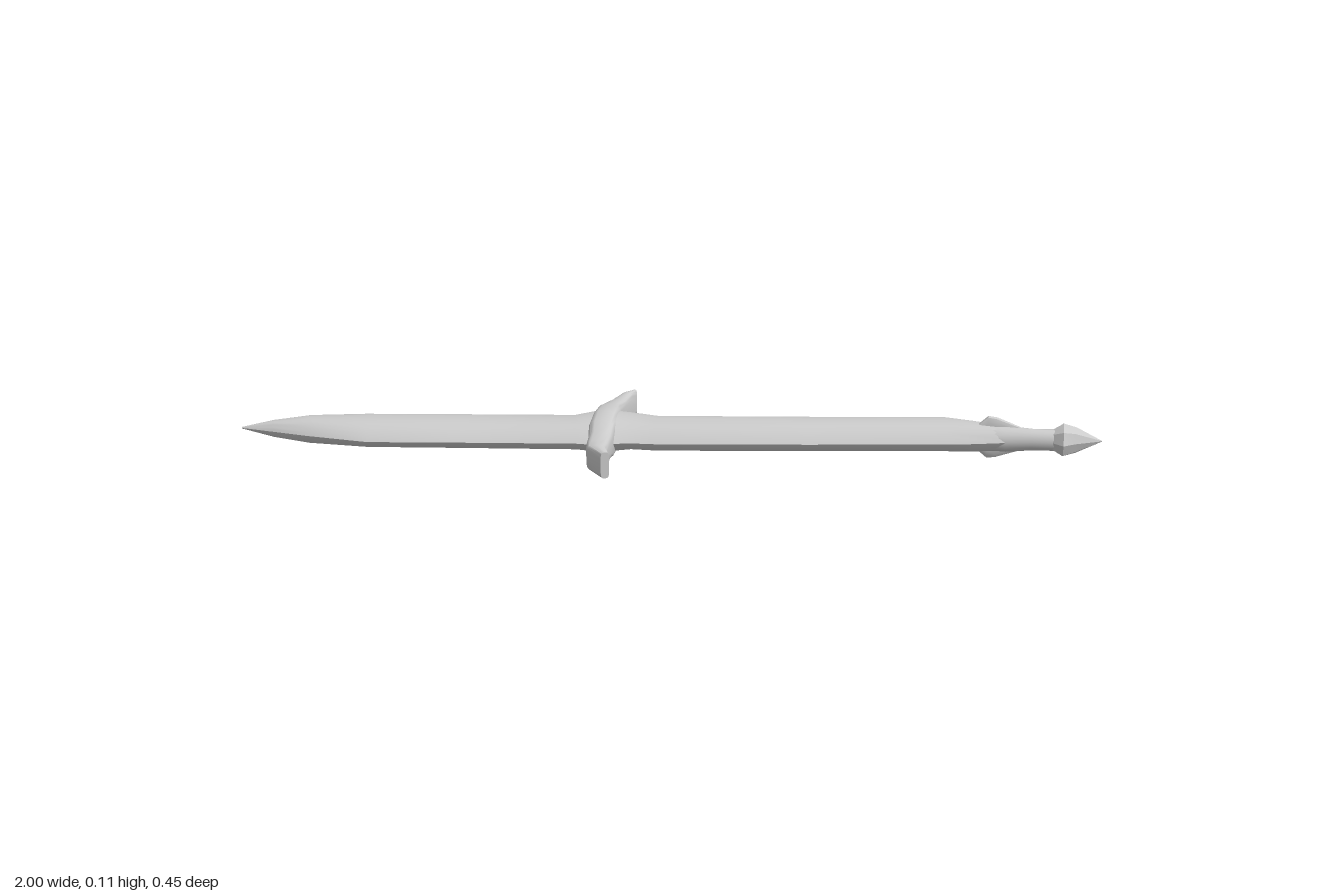
import * as THREE from 'three';
import { toCreasedNormals } from 'three/addons/utils/BufferGeometryUtils.js';

const MID_Y = 0.053;

// Section shapes: (angle) -> [across, up], both in -1..1
const lens = (a) => {
  const u = Math.cos(a);
  return [u, Math.sign(Math.sin(a)) * (1 - Math.abs(u) ** 2.6)];
};
const rounded = (power) => (a) => [Math.cos(a), Math.sin(a)].map(
  (v) => Math.sign(v) * Math.abs(v) ** power);

// Skin through stations [xA, zA, xB, zB, halfHeight]: A and B are the two side edges
function loft(name, stations, shape, sides, crease) {
  const pos = [], index = [];
  for (const [xa, za, xb, zb, t] of stations) {
    for (let j = 0; j < sides; j++) {
      const [u, v] = shape((j / sides) * Math.PI * 2);
      const k = (u + 1) / 2;
      pos.push(xa + (xb - xa) * k, MID_Y + v * t, za + (zb - za) * k);
    }
  }
  const last = stations.length - 1;
  for (let i = 0; i < last; i++) {
    for (let j = 0; j < sides; j++) {
      const n = (j + 1) % sides;
      const a = i * sides + j, b = i * sides + n;
      const c = a + sides, d = b + sides;
      index.push(a, c, b, b, c, d);
    }
  }
  // end caps
  for (let j = 1; j < sides - 1; j++) {
    index.push(0, j, j + 1);
    index.push(last * sides, last * sides + j + 1, last * sides + j);
  }
  const geo = new THREE.BufferGeometry();
  geo.setAttribute('position', new THREE.Float32BufferAttribute(pos, 3));
  geo.setIndex(index);
  const mesh = new THREE.Mesh(toCreasedNormals(geo, crease),
    new THREE.MeshStandardMaterial({ color: 0xcccccc }));
  mesh.name = name;
  return mesh;
}

export function createModel() {
  const group = new THREE.Group();
  group.name = 'sword';

  // Pointed blade in front of the guard
  group.add(loft('blade', [
    [-1, 0.178, -1, 0.182, 0.002],
    [-0.93, 0.145, -0.92, 0.189, 0.02],
    [-0.85, 0.105, -0.83, 0.197, 0.031],
    [-0.73, 0.055, -0.68, 0.203, 0.033],
    [-0.5, 0.008, -0.46, 0.156, 0.034],
    [-0.24, -0.045, -0.2, 0.102, 0.035],
    [-0.18, -0.085, -0.16, 0.1, 0.042],
    [-0.15, -0.09, -0.13, 0.09, 0.042],
  ], lens, 28, 0.7));

  // Long grip section behind the guard, tapering to the neck
  group.add(loft('grip', [
    [-0.15, -0.09, -0.13, 0.09, 0.042],
    [-0.1, -0.092, -0.08, 0.072, 0.037],
    [-0.04, -0.08, -0.02, 0.064, 0.036],
    [0.3, -0.152, 0.33, -0.014, 0.036],
    [0.62, -0.222, 0.65, -0.09, 0.036],
    [0.69, -0.21, 0.71, -0.106, 0.034],
    [0.78, -0.19, 0.8, -0.137, 0.028],
  ], lens, 28, 0.7));

  // Round neck leading to the pommel
  group.add(loft('neck', [
    [0.7, -0.19, 0.7, -0.125, 0.03],
    [0.78, -0.187, 0.78, -0.13, 0.031],
    [0.84, -0.187, 0.84, -0.147, 0.026],
    [0.92, -0.205, 0.92, -0.157, 0.026],
  ], rounded(1), 20, 0.9));

  // Raised ridge on top and bottom of the neck
  group.add(loft('neckRidge', [
    [0.71, -0.166, 0.71, -0.146, 0.03],
    [0.735, -0.172, 0.735, -0.15, 0.053],
    [0.755, -0.175, 0.755, -0.152, 0.05],
    [0.82, -0.172, 0.82, -0.16, 0.026],
  ], rounded(0.6), 16, 0.6));

  // Faceted cone pommel
  group.add(loft('pommel', [
    [0.885, -0.2, 0.885, -0.155, 0.025],
    [0.905, -0.226, 0.915, -0.138, 0.041],
    [0.94, -0.216, 0.94, -0.158, 0.032],
    [1, -0.194, 1, -0.192, 0.001],
  ], rounded(1), 8, 0.4));

  // Crossguard, lofted from back to front, with swept tips
  group.add(loft('crossguard', [
    [-0.126, -0.203, -0.137, -0.203, 0.032],
    [-0.13, -0.175, -0.158, -0.175, 0.034],
    [-0.134, -0.13, -0.172, -0.13, 0.033],
    [-0.135, -0.08, -0.182, -0.08, 0.04],
    [-0.125, -0.04, -0.185, -0.04, 0.05],
    [-0.12, 0.01, -0.184, 0.01, 0.053],
    [-0.115, 0.06, -0.18, 0.06, 0.046],
    [-0.112, 0.1, -0.17, 0.1, 0.033],
    [-0.108, 0.15, -0.162, 0.15, 0.031],
    [-0.104, 0.178, -0.153, 0.182, 0.032],
    [-0.09, 0.215, -0.108, 0.225, 0.032],
  ], rounded(0.5), 24, 0.7));

  return group;
}
